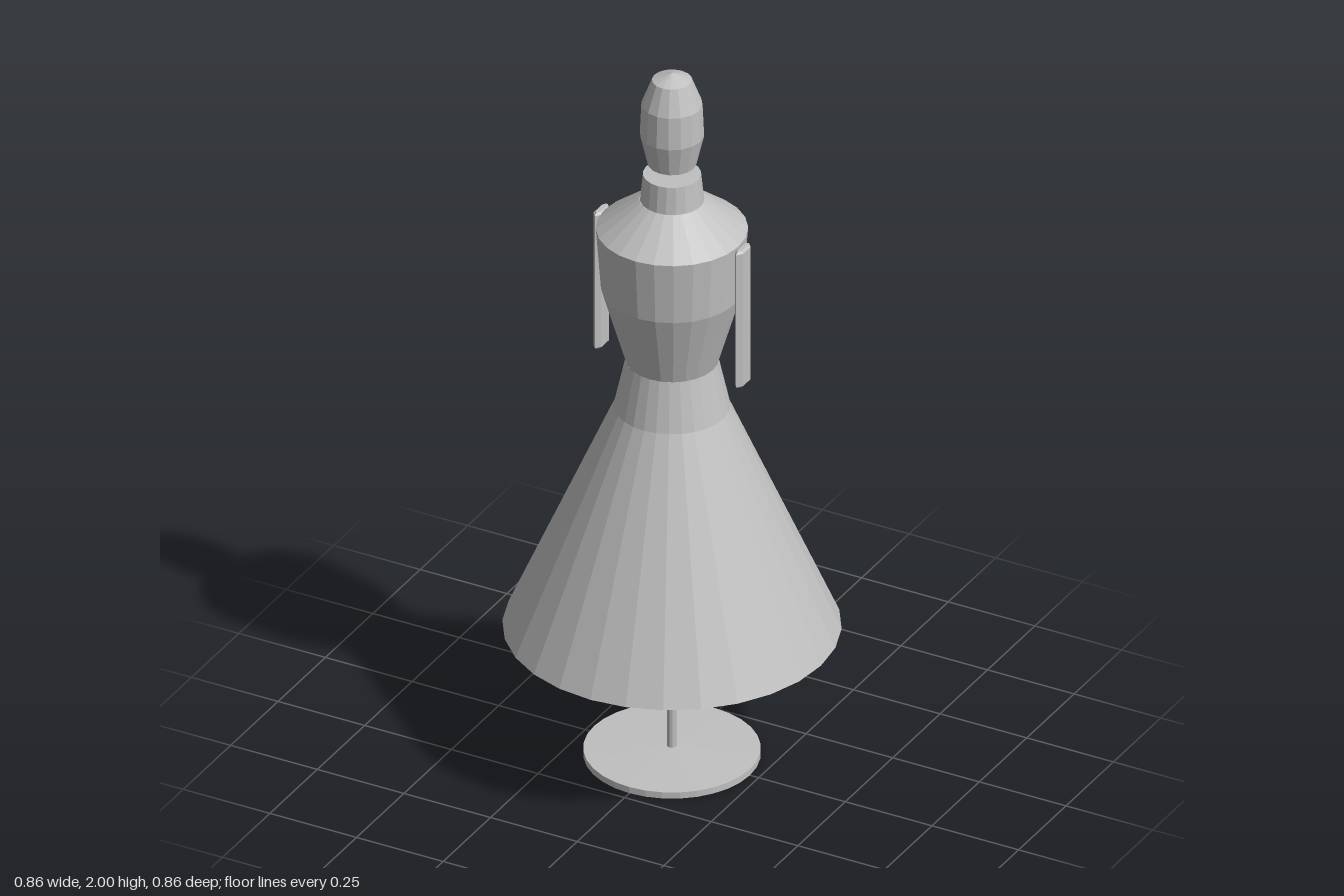
import * as THREE from 'three';

const grey = new THREE.MeshStandardMaterial({ color: 0xc0c0c0, flatShading: true });
grey.name = 'plain grey';

// Turned part from [radius, height] pairs listed bottom to top
function turned(name, profile, sides) {
  const points = profile.map(([r, y]) => new THREE.Vector2(r, y));
  const mesh = new THREE.Mesh(new THREE.LatheGeometry(points, sides), grey);
  mesh.name = name;
  return mesh;
}

// Flat six-sided arm with chamfered ends, hanging straight down
function arm(name, side) {
  const bevel = 0.006, bottom = 1.145, top = 1.545;
  const outline = new THREE.Shape([
    [0.006, 0.018], [0, 0.026], [-0.006, 0.018],
    [-0.006, -0.018], [0, -0.026], [0.006, -0.018],
  ].map(([x, y]) => new THREE.Vector2(x, y)));
  const geometry = new THREE.ExtrudeGeometry(outline, {
    depth: top - bottom - 2 * bevel,
    bevelEnabled: true, bevelSize: bevel, bevelThickness: bevel, bevelSegments: 1,
  });
  geometry.rotateX(-Math.PI / 2);
  const mesh = new THREE.Mesh(geometry, grey);
  mesh.name = name;
  mesh.position.set(side * 0.204, bottom + bevel, 0);
  return mesh;
}

export function createModel() {
  const model = new THREE.Group();
  model.name = 'dress figure on stand';

  // Stand
  model.add(turned('base', [[0, 0], [0.225, 0], [0.225, 0.018], [0, 0.025]], 32));
  model.add(turned('pole', [[0, 0.02], [0.013, 0.02], [0.013, 0.4], [0, 0.4]], 10));

  // Dress and body
  model.add(turned('skirt', [[0, 0.38], [0.43, 0.38], [0.148, 1.025], [0.118, 1.16], [0, 1.16]], 28));
  model.add(turned('torso', [
    [0, 1.16], [0.118, 1.16], [0.18, 1.37], [0.193, 1.545], [0.083, 1.63], [0, 1.63],
  ], 24));
  model.add(turned('neck', [[0, 1.625], [0.082, 1.625], [0.074, 1.705], [0, 1.705]], 20));

  // Head
  model.add(turned('head', [
    [0, 1.71], [0.062, 1.735], [0.082, 1.82], [0.078, 1.91], [0.051, 1.98], [0, 2],
  ], 16));

  // Arms
  model.add(arm('leftArm', 1), arm('rightArm', -1));
  return model;
}
